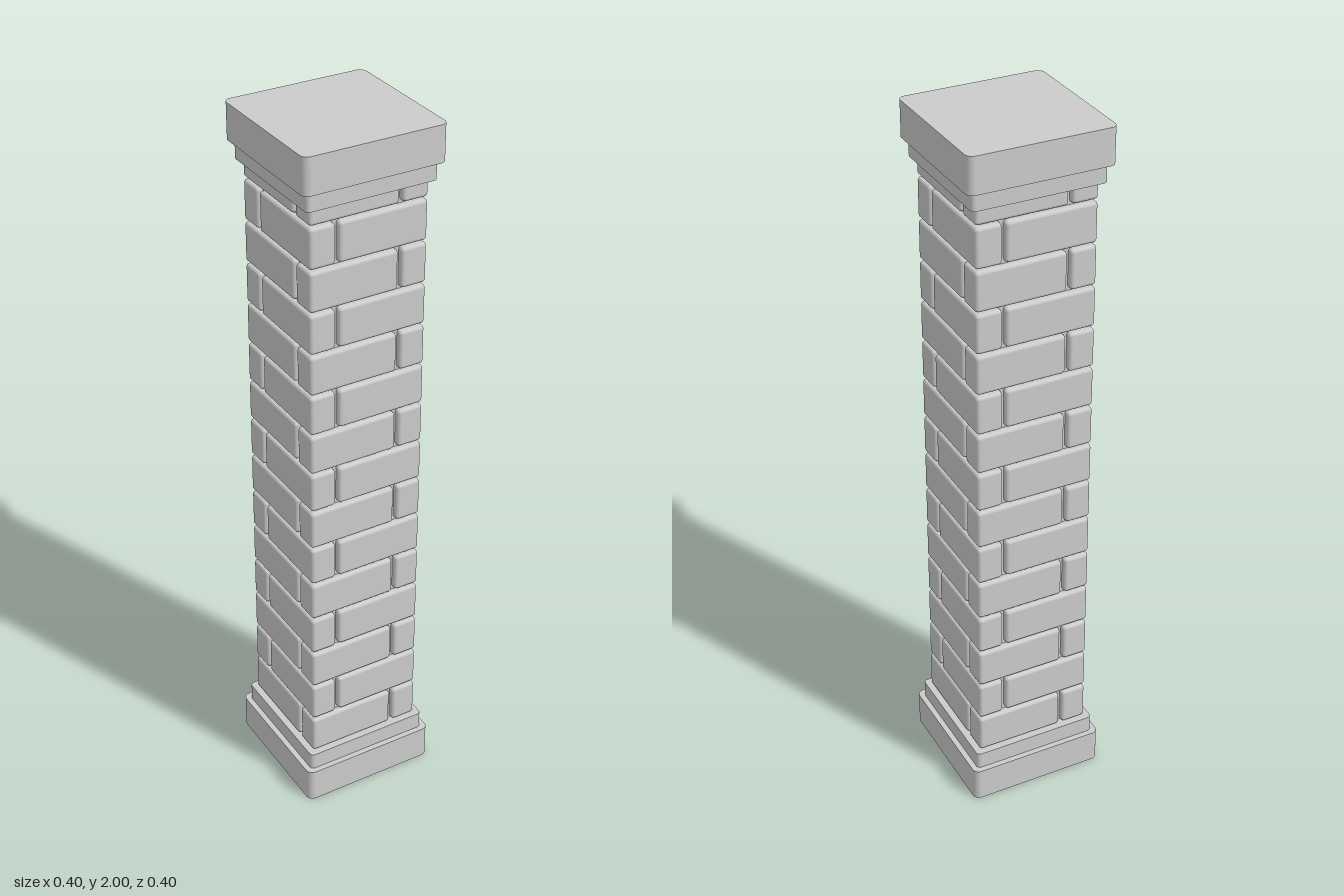
import * as THREE from 'three';
import { RoundedBoxGeometry } from 'three/addons/geometries/RoundedBoxGeometry.js';

const material = new THREE.MeshStandardMaterial({ color: 0xcccccc });

// Square slab with rounded vertical corners, standing on y
function slab(name, half, radius, y, height) {
  const h = half, r = radius;
  const shape = new THREE.Shape();
  shape.moveTo(-h + r, -h);
  shape.lineTo(h - r, -h);
  shape.absarc(h - r, -h + r, r, -Math.PI / 2, 0);
  shape.lineTo(h, h - r);
  shape.absarc(h - r, h - r, r, 0, Math.PI / 2);
  shape.lineTo(-h + r, h);
  shape.absarc(-h + r, h - r, r, Math.PI / 2, Math.PI);
  shape.lineTo(-h, -h + r);
  shape.absarc(-h + r, -h + r, r, Math.PI, Math.PI * 1.5);
  const geometry = new THREE.ExtrudeGeometry(shape, { depth: height, bevelEnabled: false, curveSegments: 6 });
  geometry.rotateX(-Math.PI / 2);
  const mesh = new THREE.Mesh(geometry, material);
  mesh.name = name;
  mesh.position.y = y;
  return mesh;
}

export function createModel() {
  const pillar = new THREE.Group();
  pillar.name = 'brickPillar';

  // Stepped base and cap
  pillar.add(
    slab('basePlinth', 0.2, 0.02, 0, 0.1),
    slab('baseStep', 0.184, 0.012, 0.1, 0.05),
    slab('capStep', 0.184, 0.012, 1.85, 0.05),
    slab('capSlab', 0.2, 0.02, 1.9, 0.1)
  );

  // Recessed mortar core
  const core = new THREE.Mesh(new THREE.BoxGeometry(0.3, 1.75, 0.3), material);
  core.name = 'mortarCore';
  core.position.y = 1;
  pillar.add(core);

  // Courses of four bricks in a pinwheel, the direction alternating
  const outer = 0.168, thickness = 0.073, length = 0.253, height = 0.112, pitch = 0.118;
  const brickGeometry = new RoundedBoxGeometry(length, height, thickness, 3, 0.01);
  for (let i = 0; i < 15; i++) {
    const course = new THREE.Group();
    course.name = 'brickCourse' + (i + 1);
    course.position.y = 0.15 + i * pitch + height / 2;
    const side = i % 2 ? 1 : -1;
    for (let k = 0; k < 4; k++) {
      const turn = new THREE.Group();
      turn.name = 'brickSide' + (k + 1);
      turn.rotation.y = k * Math.PI / 2;
      const brick = new THREE.Mesh(brickGeometry, material);
      brick.name = 'brick';
      brick.position.set(side * (outer - length / 2), 0, outer - thickness / 2);
      turn.add(brick);
      course.add(turn);
    }
    pillar.add(course);
  }
  return pillar;
}
